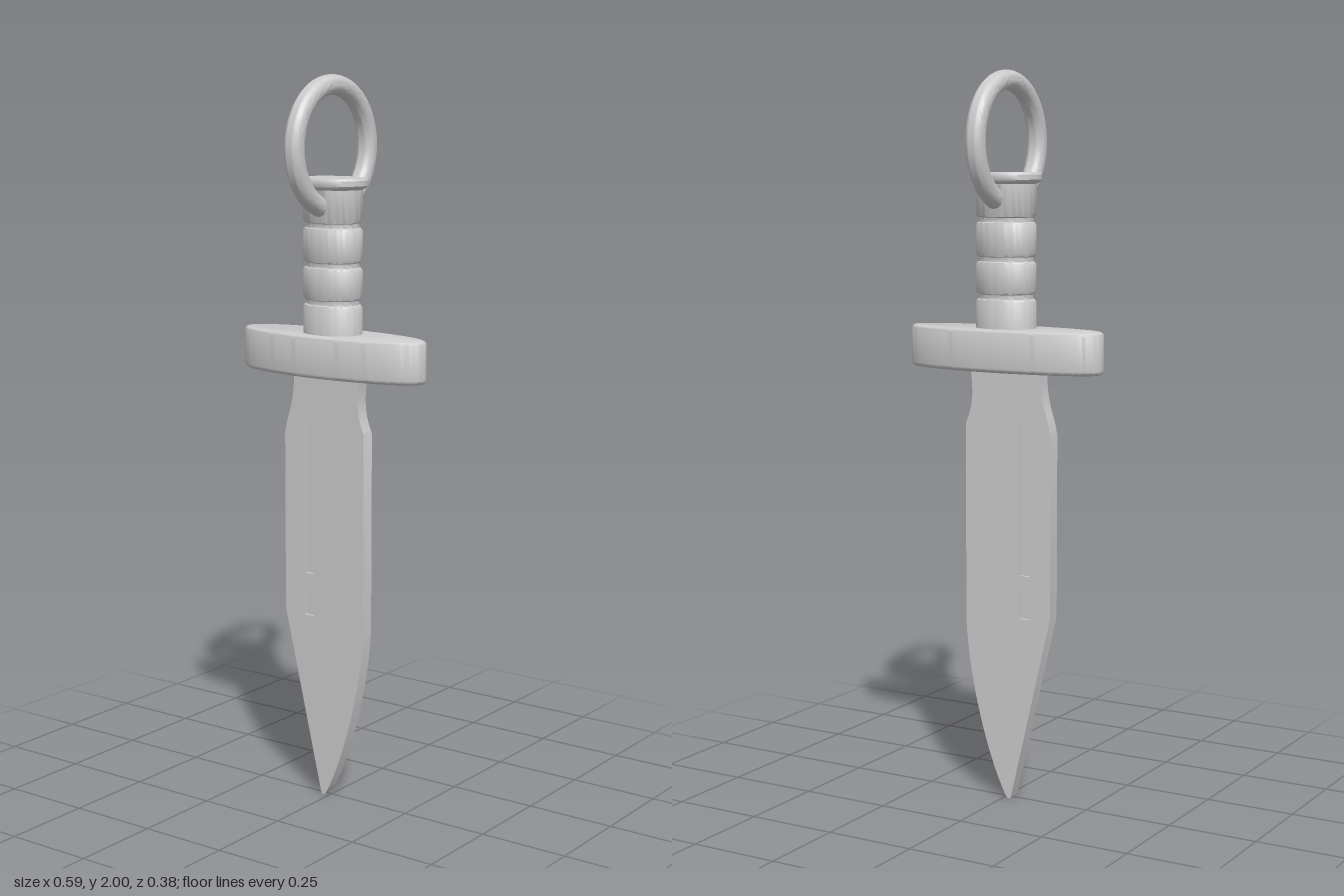
import * as THREE from 'three';
import { toCreasedNormals } from 'three/addons/utils/BufferGeometryUtils.js';

const material = new THREE.MeshStandardMaterial({ color: 0xcccccc });

function addPart(group, name, geometry, crease = 0.6) {
  const mesh = new THREE.Mesh(toCreasedNormals(geometry, crease), material);
  mesh.name = name;
  group.add(mesh);
  return mesh;
}

// Blade outline: notched shoulders, straight back edge, curved belly
function bladeShape() {
  const s = new THREE.Shape();
  s.moveTo(-0.115, 1.22);
  s.bezierCurveTo(-0.115, 1.1, -0.135, 1.1, -0.147, 1.03);
  s.lineTo(-0.147, 0.53);
  s.lineTo(-0.025, 0.012);
  s.quadraticCurveTo(-0.02, -0.004, -0.006, 0.016);
  s.bezierCurveTo(0.05, 0.12, 0.11, 0.33, 0.118, 0.5);
  s.lineTo(0.118, 1.05);
  s.bezierCurveTo(0.09, 1.11, 0.095, 1.15, 0.105, 1.22);
  s.closePath();
  return s;
}

function slot(x0, x1, y0, y1) {
  const p = new THREE.Path();
  p.moveTo(x0, y0);
  p.lineTo(x0, y1);
  p.lineTo(x1, y1);
  p.lineTo(x1, y0);
  p.closePath();
  return p;
}

function createBlade() {
  const blade = new THREE.Group();
  blade.name = 'blade';
  const half = 0.019, recess = 0.009;
  const core = new THREE.ExtrudeGeometry(bladeShape(), {
    depth: 2 * (half - recess), bevelEnabled: false, curveSegments: 16,
  });
  addPart(blade, 'bladeCore', core.translate(0, 0, recess - half));

  // Outer faces carry the long groove and the short one below it
  for (const side of [1, -1]) {
    const shape = bladeShape();
    shape.holes.push(slot(-0.081, -0.05, 0.64, 1.07), slot(-0.081, -0.05, 0.52, 0.6));
    const face = new THREE.ExtrudeGeometry(shape, {
      depth: recess, bevelEnabled: false, curveSegments: 16,
    });
    face.translate(0, 0, side > 0 ? half - recess : -half);
    addPart(blade, side > 0 ? 'bladeFront' : 'bladeBack', face);
  }
  blade.position.z = -0.003;
  return blade;
}

// Oval guard with softened rims
function createGuard(group) {
  const oval = new THREE.Shape();
  oval.absellipse(0, 0, 0.295, 0.091, 0, Math.PI * 2);
  const bevel = 0.012;
  const geometry = new THREE.ExtrudeGeometry(oval, {
    depth: 0.115 - 2 * bevel, bevelThickness: bevel, bevelSize: bevel,
    bevelOffset: -bevel, bevelSegments: 4, curveSegments: 64,
  });
  geometry.rotateX(-Math.PI / 2).translate(0, 1.2 + bevel, -0.008);
  addPart(group, 'guard', geometry);
}

// Oval grip: three swollen bands between grooves, a neck and a flat cap
function createGrip(group) {
  const profile = [[0, 1.3], [0.086, 1.3]];
  for (const y of [1.4, 1.5, 1.605]) {
    profile.push([0.086, y - 0.014], [0.082, y - 0.008], [0.077, y - 0.006],
      [0.077, y + 0.006], [0.082, y + 0.008], [0.086, y + 0.014]);
  }
  profile.push([0.086, 1.7], [0.097, 1.706], [0.101, 1.711], [0.101, 1.725],
    [0.097, 1.73], [0, 1.73]);
  const points = profile.map(([r, y]) => new THREE.Vector2(r, y));
  const geometry = new THREE.LatheGeometry(points, 64);
  geometry.scale(1, 1, 0.74).translate(0, 0, -0.005);
  geometry.scale(1, 1, 1.05);
  addPart(group, 'grip', geometry);
}

export function createModel() {
  const dagger = new THREE.Group();
  dagger.name = 'dagger';
  dagger.add(createBlade());
  createGuard(dagger);
  createGrip(dagger);

  // Ring threaded through the top of the grip
  const ring = new THREE.TorusGeometry(0.163, 0.027, 24, 80);
  ring.rotateY(Math.PI / 2).translate(0, 1.81, 0);
  addPart(dagger, 'pommelRing', ring, 1);
  return dagger;
}
